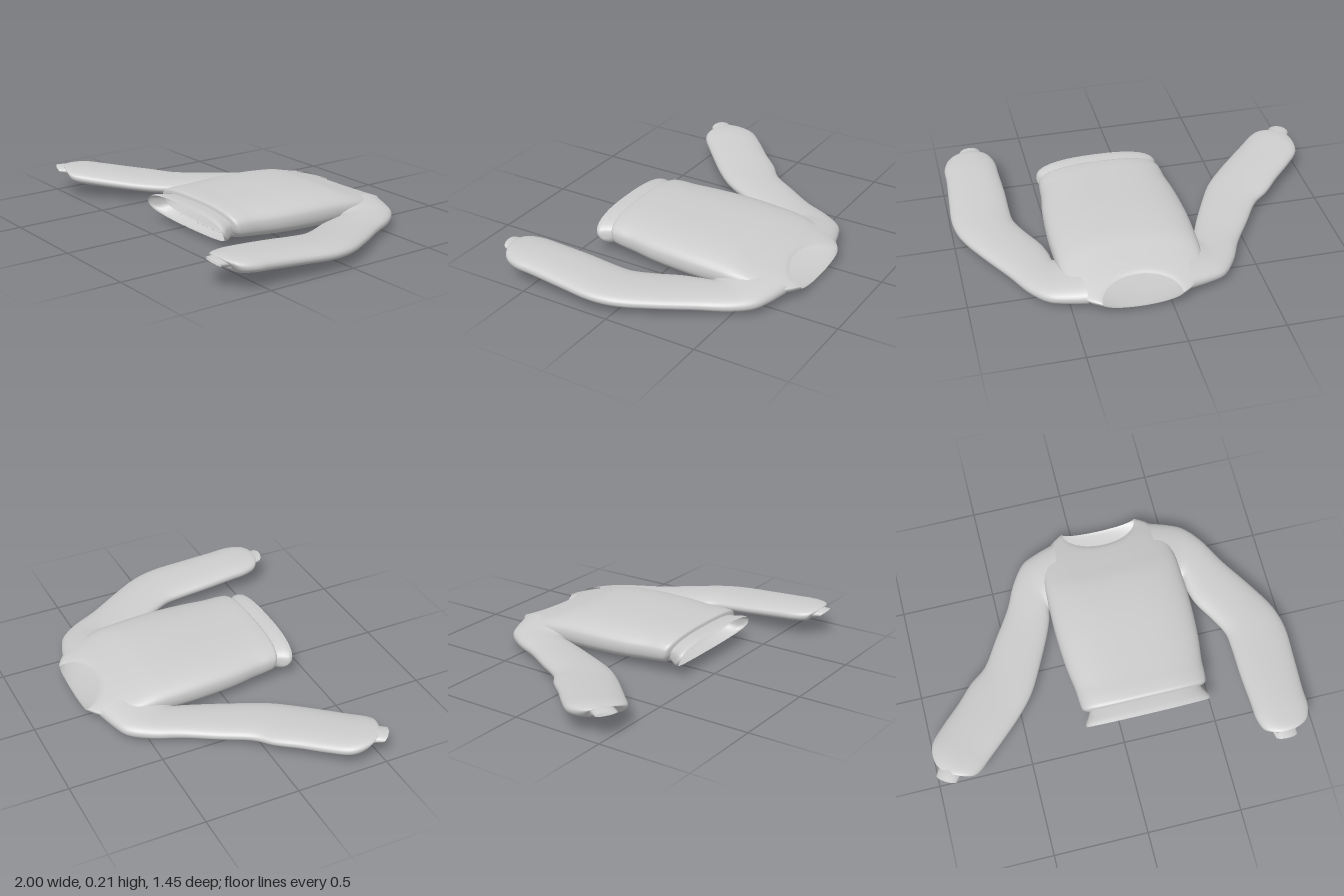
import * as THREE from 'three';

const SIDES = 48;
const material = new THREE.MeshStandardMaterial({ color: 0xcccccc, side: THREE.DoubleSide });
const softPow = (v, e) => Math.sign(v) * Math.pow(Math.abs(v), e);

// Smooth skin through a list of closed rings, splined lengthwise.
function loft(name, rings, steps) {
  const columns = [];
  for (let j = 0; j < SIDES; j++) {
    const curve = new THREE.CatmullRomCurve3(rings.map((r) => r[j]), false, 'centripetal');
    columns.push(curve.getPoints(steps * (rings.length - 1)));
  }
  const rows = columns[0].length;
  const position = [];
  const index = [];
  for (let i = 0; i < rows; i++) {
    for (let j = 0; j < SIDES; j++) {
      position.push(...columns[j][i].toArray());
      if (i === rows - 1) continue;
      const k = (j + 1) % SIDES;
      const a = i * SIDES + j, b = i * SIDES + k;
      index.push(a, b, a + SIDES, b, b + SIDES, a + SIDES);
    }
  }
  const geometry = new THREE.BufferGeometry();
  geometry.setAttribute('position', new THREE.Float32BufferAttribute(position, 3));
  geometry.setIndex(index);
  geometry.computeVertexNormals();
  const mesh = new THREE.Mesh(geometry, material);
  mesh.name = name;
  return mesh;
}

const ringOf = (point) => Array.from({ length: SIDES }, (_, j) => {
  const t = (j / SIDES) * Math.PI * 2;
  return point(Math.cos(t), Math.sin(t));
});

// Torso ring: half width, low y, high y, z at front / side / back, roundness.
const bodyRing = ([w, lo, hi, front, side, back, e]) => ringOf((c, s) => new THREE.Vector3(
  0.155 + w * softPow(c, e),
  (lo + hi) / 2 + ((hi - lo) / 2) * softPow(s, e),
  side + ((s > 0 ? front : back) - side) * Math.abs(s)
));

// Sleeve ring: two edge points (x, z), low y, high y, lean of the ring along the arm.
const armRing = ([ax, az, bx, bz, lo, hi, lean = 0], e) => {
  const length = Math.hypot(ax - bx, az - bz);
  const ux = (ax - bx) / length, uz = (az - bz) / length;
  return ringOf((c, s) => {
    const across = (length / 2) * softPow(c, e);
    return new THREE.Vector3(
      (ax + bx) / 2 + ux * across + uz * lean * s,
      (lo + hi) / 2 + ((hi - lo) / 2) * softPow(s, e),
      (az + bz) / 2 + uz * across - ux * lean * s
    );
  });
};

export function createModel() {
  const group = new THREE.Group();
  group.name = 'sweater';

  // Body from the neck opening down to the gathered lower edge
  group.add(loft('body', [
    [0.205, 0.03, 0.13, -0.59, -0.725, -0.72, 1],
    [0.225, 0.025, 0.142, -0.57, -0.715, -0.71, 1],
    [0.28, 0.018, 0.157, -0.52, -0.675, -0.67, 0.95],
    [0.34, 0.01, 0.175, -0.45, -0.59, -0.59, 0.88],
    [0.368, 0.005, 0.197, -0.36, -0.47, -0.47, 0.8],
    [0.375, 0.004, 0.209, -0.25, -0.32, -0.32, 0.76],
    [0.377, 0.006, 0.215, -0.12, -0.15, -0.16, 0.75],
    [0.365, 0.014, 0.216, 0.07, 0.06, 0.04, 0.75],
    [0.347, 0.022, 0.216, 0.21, 0.19, 0.15, 0.75],
    [0.342, 0.03, 0.216, 0.3, 0.27, 0.22, 0.75],
    [0.334, 0.036, 0.21, 0.338, 0.31, 0.262, 0.75],
    [0.308, 0.045, 0.192, 0.345, 0.325, 0.275, 0.78],
  ].map(bodyRing), 5));

  // Flared hem band
  group.add(loft('hem', [
    [0.3, 0.045, 0.19, 0.335, 0.32, 0.265, 0.8],
    [0.315, 0.036, 0.194, 0.365, 0.35, 0.29, 0.8],
    [0.338, 0.028, 0.197, 0.405, 0.39, 0.32, 0.8],
    [0.335, 0.03, 0.195, 0.432, 0.405, 0.335, 0.8],
  ].map(bodyRing), 4));

  // Left sleeve: outer edge first, then inner edge
  const left = [
    [0.42, -0.68, 0.45, -0.32, 0.018, 0.135],
    [0.53, -0.647, 0.505, -0.32, 0.015, 0.122],
    [0.61, -0.61, 0.532, -0.31, 0.014, 0.112],
    [0.69, -0.52, 0.54, -0.25, 0.016, 0.107],
    [0.77, -0.37, 0.565, -0.16, 0.02, 0.107],
    [0.88, -0.19, 0.63, -0.04, 0.028, 0.115],
    [0.965, -0.03, 0.675, 0.06, 0.035, 0.125],
    [0.995, 0.1, 0.682, 0.15, 0.042, 0.133],
    [0.99, 0.28, 0.682, 0.3, 0.055, 0.147],
    [0.98, 0.47, 0.69, 0.48, 0.068, 0.162],
    [0.978, 0.57, 0.695, 0.58, 0.076, 0.167, -0.015],
    [0.95, 0.635, 0.72, 0.645, 0.083, 0.165, -0.025],
    [0.9, 0.655, 0.75, 0.655, 0.098, 0.157, -0.03],
    [0.88, 0.645, 0.76, 0.645, 0.112, 0.15, -0.02],
  ];
  // Right sleeve: inner edge first, then outer edge
  const right = [
    [-0.14, -0.32, -0.11, -0.68, 0.018, 0.135],
    [-0.192, -0.32, -0.22, -0.647, 0.015, 0.122],
    [-0.217, -0.31, -0.3, -0.61, 0.014, 0.112],
    [-0.23, -0.26, -0.38, -0.5, 0.016, 0.107],
    [-0.26, -0.18, -0.44, -0.37, 0.02, 0.105],
    [-0.33, -0.03, -0.54, -0.21, 0.026, 0.11],
    [-0.42, 0.14, -0.635, -0.06, 0.034, 0.118],
    [-0.51, 0.25, -0.72, 0.01, 0.042, 0.127],
    [-0.61, 0.35, -0.81, 0.11, 0.052, 0.14],
    [-0.71, 0.445, -0.91, 0.21, 0.064, 0.153],
    [-0.775, 0.505, -0.985, 0.3, 0.074, 0.164, -0.01],
    [-0.81, 0.52, -0.995, 0.37, 0.083, 0.164, -0.025],
    [-0.85, 0.505, -0.98, 0.415, 0.098, 0.16, -0.03],
    [-0.87, 0.485, -0.965, 0.42, 0.115, 0.155, -0.02],
  ];
  group.add(loft('leftSleeve', left.map((r) => armRing(r, 0.88)), 4));
  group.add(loft('rightSleeve', right.map((r) => armRing(r, 0.88)), 4));

  // Short open cuffs
  group.add(loft('leftCuff', [
    [0.885, 0.63, 0.75, 0.63, 0.1, 0.158, -0.02],
    [0.88, 0.67, 0.757, 0.67, 0.105, 0.158, -0.02],
    [0.878, 0.7, 0.763, 0.7, 0.112, 0.156, -0.022],
  ].map((r) => armRing(r, 1)), 3));
  group.add(loft('rightCuff', [
    [-0.865, 0.48, -0.96, 0.415, 0.105, 0.163, -0.02],
    [-0.882, 0.51, -0.98, 0.445, 0.11, 0.163, -0.02],
    [-0.9, 0.535, -0.997, 0.475, 0.117, 0.16, -0.022],
  ].map((r) => armRing(r, 1)), 3));

  return group;
}
